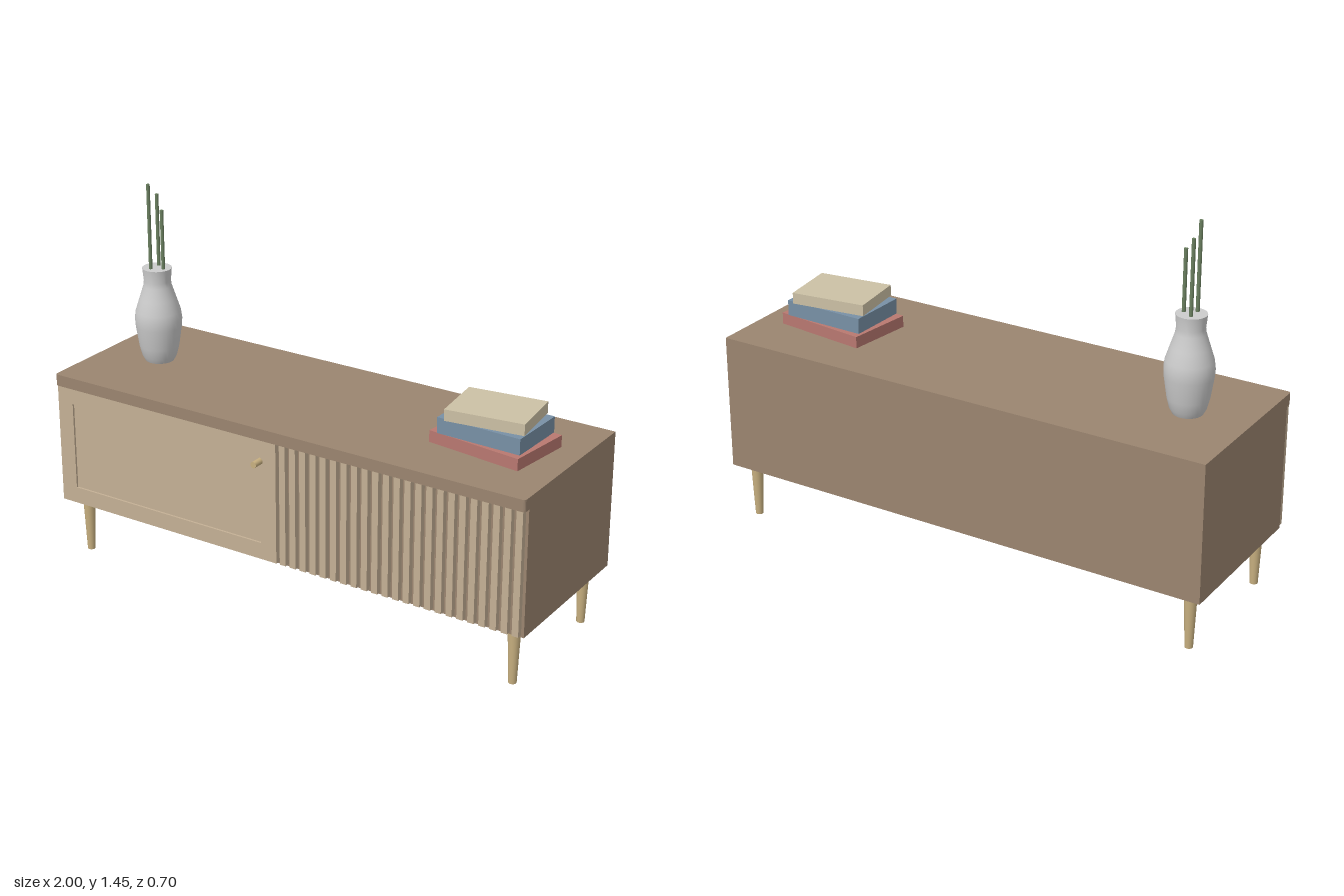
import * as THREE from 'three';
import { toCreasedNormals } from 'three/addons/utils/BufferGeometryUtils.js';

const paint = (color) => new THREE.MeshStandardMaterial({ color });
const walnut = paint(0x9b8570), oak = paint(0xc4b095), legWood = paint(0xc8b080);
const ceramic = paint(0xcccccc), green = paint(0x6b8060);

export function createModel() {
  const model = new THREE.Group();

  function add(name, geometry, material, x, y, z, parent = model) {
    const mesh = new THREE.Mesh(geometry, material);
    mesh.name = name;
    mesh.position.set(x, y, z);
    parent.add(mesh);
    return mesh;
  }
  function group(name) {
    const g = new THREE.Group();
    g.name = name;
    model.add(g);
    return g;
  }

  // Cabinet body
  add('cabinetBody', new THREE.BoxGeometry(2, 0.49, 0.64), walnut, 0, 0.465, -0.03);

  // Table top, overhanging at the front with rounded front corners
  const r = 0.012, front = 0.32, back = -0.35;
  const outline = new THREE.Shape();
  outline.moveTo(-1, -back);
  outline.lineTo(-1, -front + r);
  outline.quadraticCurveTo(-1, -front, -1 + r, -front);
  outline.lineTo(1 - r, -front);
  outline.quadraticCurveTo(1, -front, 1, -front + r);
  outline.lineTo(1, -back);
  const slab = new THREE.ExtrudeGeometry(outline, { depth: 0.045, bevelEnabled: false, curveSegments: 4 });
  slab.rotateX(-Math.PI / 2);
  add('top', slab, walnut, 0, 0.705, 0);

  // Panelled door: a frame with a slightly recessed panel
  const door = group('panelDoor');
  const frame = new THREE.Shape([
    [-0.998, 0.228], [-0.003, 0.228], [-0.003, 0.703], [-0.998, 0.703],
  ].map(([x, y]) => new THREE.Vector2(x, y)));
  frame.holes.push(new THREE.Path([
    [-0.93, 0.293], [-0.93, 0.64], [-0.07, 0.64], [-0.07, 0.293],
  ].map(([x, y]) => new THREE.Vector2(x, y))));
  add('doorFrame', new THREE.ExtrudeGeometry(frame, { depth: 0.021, bevelEnabled: false }), oak, 0, 0, 0.29, door);
  add('doorPanel', new THREE.BoxGeometry(0.87, 0.355, 0.013), oak, -0.5, 0.4665, 0.2965, door);
  const knob = new THREE.CylinderGeometry(0.012, 0.012, 0.055, 16);
  knob.rotateX(Math.PI / 2);
  add('knob', knob, legWood, -0.07, 0.62, 0.3255, door);

  // Slatted door
  const slats = group('slattedDoor');
  const slatCount = 23, pitch = 0.995 / slatCount;
  const slat = new THREE.BoxGeometry(0.025, 0.475, 0.021);
  for (let i = 0; i < slatCount; i++) {
    add('slat', slat, oak, 0.003 + (i + 0.5) * pitch, 0.4655, 0.3005, slats);
  }

  // Tapered legs
  const leg = new THREE.CylinderGeometry(0.024, 0.015, 0.22, 16);
  for (const x of [-0.935, 0.935]) {
    for (const z of [-0.285, 0.235]) add('leg', leg, legWood, x, 0.11, z);
  }

  // Vase with three stems
  const profile = [
    [0, 0], [0.055, 0], [0.066, 0.02], [0.076, 0.06], [0.088, 0.14], [0.09, 0.17],
    [0.086, 0.2], [0.07, 0.25], [0.054, 0.3], [0.051, 0.32], [0.056, 0.37], [0, 0.37],
  ].map(([x, y]) => new THREE.Vector2(x, y));
  const vase = toCreasedNormals(new THREE.LatheGeometry(profile, 32), 0.7);
  add('vase', vase, ceramic, -0.765, 0.75, -0.02);
  for (const [x, z, topY] of [[-0.775, 0.005, 1.45], [-0.735, -0.02, 1.35], [-0.775, -0.045, 1.4]]) {
    const height = topY - 1.1;
    add('stem', new THREE.CylinderGeometry(0.007, 0.007, height, 10), green, x, 1.1 + height / 2, z);
  }

  // Stack of books: width, height, depth, turn, colour
  const books = group('books');
  let y = 0.75;
  for (const [w, h, d, turn, color] of [
    [0.377, 0.045, 0.262, -0.124, 0xb87870],
    [0.331, 0.06, 0.238, -0.03, 0x7890a5],
    [0.297, 0.043, 0.224, 0.124, 0xccc1a5],
  ]) {
    add('book', new THREE.BoxGeometry(w, h, d), paint(color), 0.698, y + h / 2, -0.02, books).rotation.y = turn;
    y += h;
  }

  return model;
}
